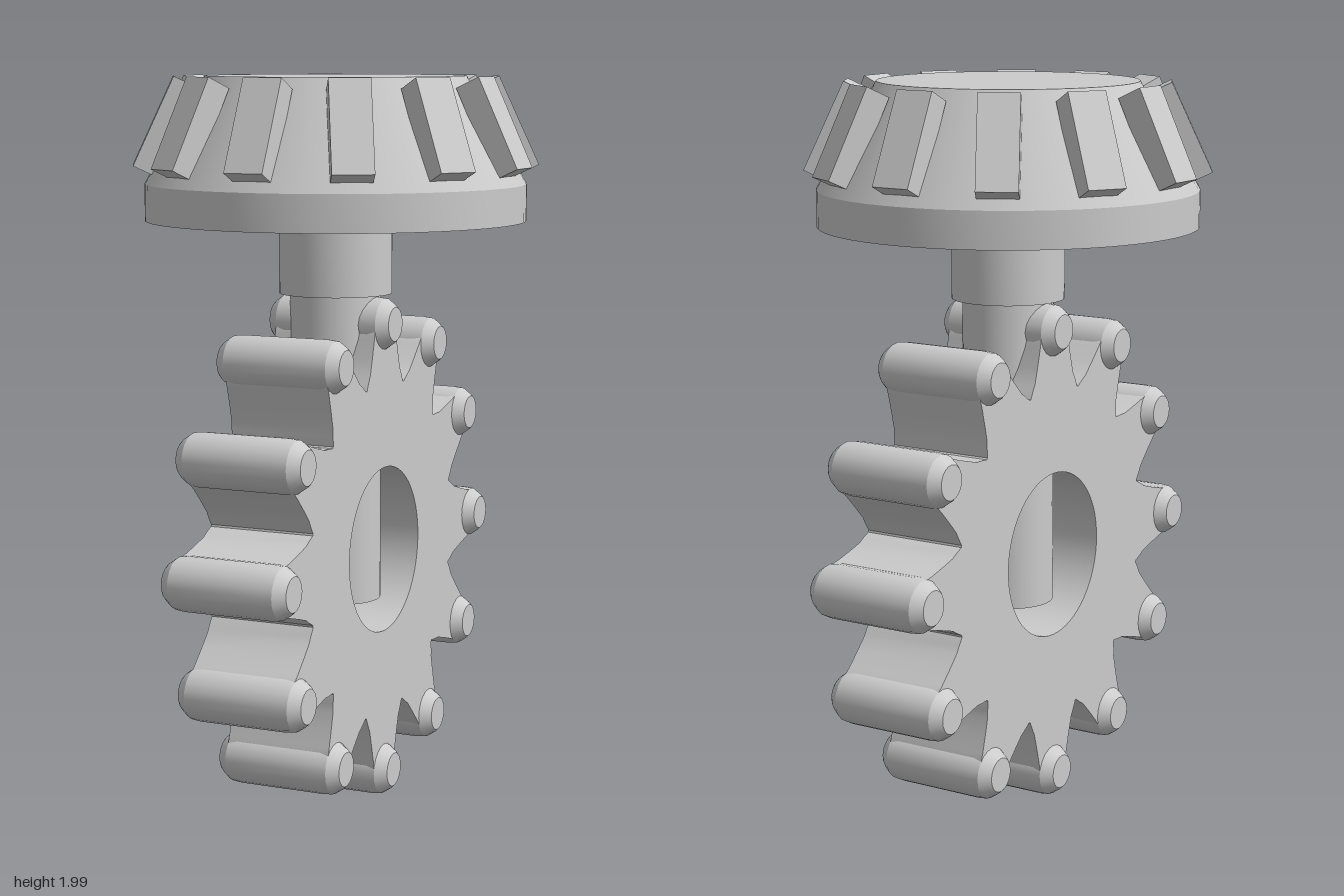
import * as THREE from 'three';
import { toCreasedNormals } from 'three/addons/utils/BufferGeometryUtils.js';

const TEETH = 12;
const STEP = (Math.PI * 2) / TEETH;
const GEAR_Y = 0.705;

export function createModel() {
  const model = new THREE.Group();
  const grey = new THREE.MeshStandardMaterial({ color: 0xcccccc });

  const add = (parent, name, geometry) => {
    const mesh = new THREE.Mesh(geometry, grey);
    mesh.name = name;
    parent.add(mesh);
    return mesh;
  };
  const turned = (points, sides) => toCreasedNormals(
    new THREE.LatheGeometry(points.map(([r, y]) => new THREE.Vector2(r, y)), sides), 0.45);

  // Upright bevel gear: stepped shaft and tapered head
  const bevelGear = new THREE.Group();
  bevelGear.name = 'bevelGear';
  model.add(bevelGear);
  add(bevelGear, 'shaft', turned(
    [[0, 0.56], [0.125, 0.56], [0.125, 1.41], [0.155, 1.41], [0.155, 1.62]], 40));
  add(bevelGear, 'bevelHead', turned(
    [[0, 1.61], [0.52, 1.61], [0.52, 1.71], [0.355, 2], [0, 2]], 64));

  // Slanted block teeth around the head
  for (let i = 0; i < TEETH; i++) {
    const tooth = new THREE.BoxGeometry(0.07, 0.264, 0.11);
    tooth.rotateZ(THREE.MathUtils.degToRad(25));
    tooth.translate(0.463, 1.865, 0);
    tooth.rotateY(i * STEP);
    add(bevelGear, 'bevelTooth', tooth);
  }

  // Wheel standing on edge, its axle hole along x
  const wheel = new THREE.Group();
  wheel.name = 'pinWheel';
  wheel.position.y = GEAR_Y;
  model.add(wheel);

  // One tooth outline, repeated round the rim
  const half = [[0.119, 0.455], [0.108, 0.478], [0.098, 0.495], [0.085, 0.54],
    [0.072, 0.59], [0.062, 0.64], [0.03, 0.68]];
  const tooth = [...half, ...half.slice().reverse().map(([x, y]) => [-x, y])];
  const outline = [];
  for (let i = 0; i < TEETH; i++) {
    const c = Math.cos(i * STEP), s = Math.sin(i * STEP);
    for (const [x, y] of tooth) outline.push(new THREE.Vector2(x * c - y * s, x * s + y * c));
  }
  const shape = new THREE.Shape(outline);
  shape.holes.push(new THREE.Path().absarc(0, 0, 0.23, 0, Math.PI * 2, true));
  const disc = new THREE.ExtrudeGeometry(shape, { depth: 0.3, bevelEnabled: false, curveSegments: 32 });
  disc.translate(0, 0, -0.15);
  disc.rotateY(Math.PI / 2);
  add(wheel, 'toothedDisc', toCreasedNormals(disc, 0.5));

  // Chamfered pins through the tooth tips
  const pin = turned([[0, -0.18], [0.047, -0.18], [0.055, -0.172], [0.07, -0.15], [0.073, -0.125],
    [0.073, 0.125], [0.07, 0.15], [0.055, 0.172], [0.047, 0.18], [0, 0.18]], 20);
  pin.rotateZ(Math.PI / 2);
  for (let i = 0; i < TEETH; i++) {
    const a = i * STEP;
    add(wheel, 'tipPin', pin).position.set(0, Math.cos(a) * 0.626, Math.sin(a) * 0.626);
  }

  return model;
}
